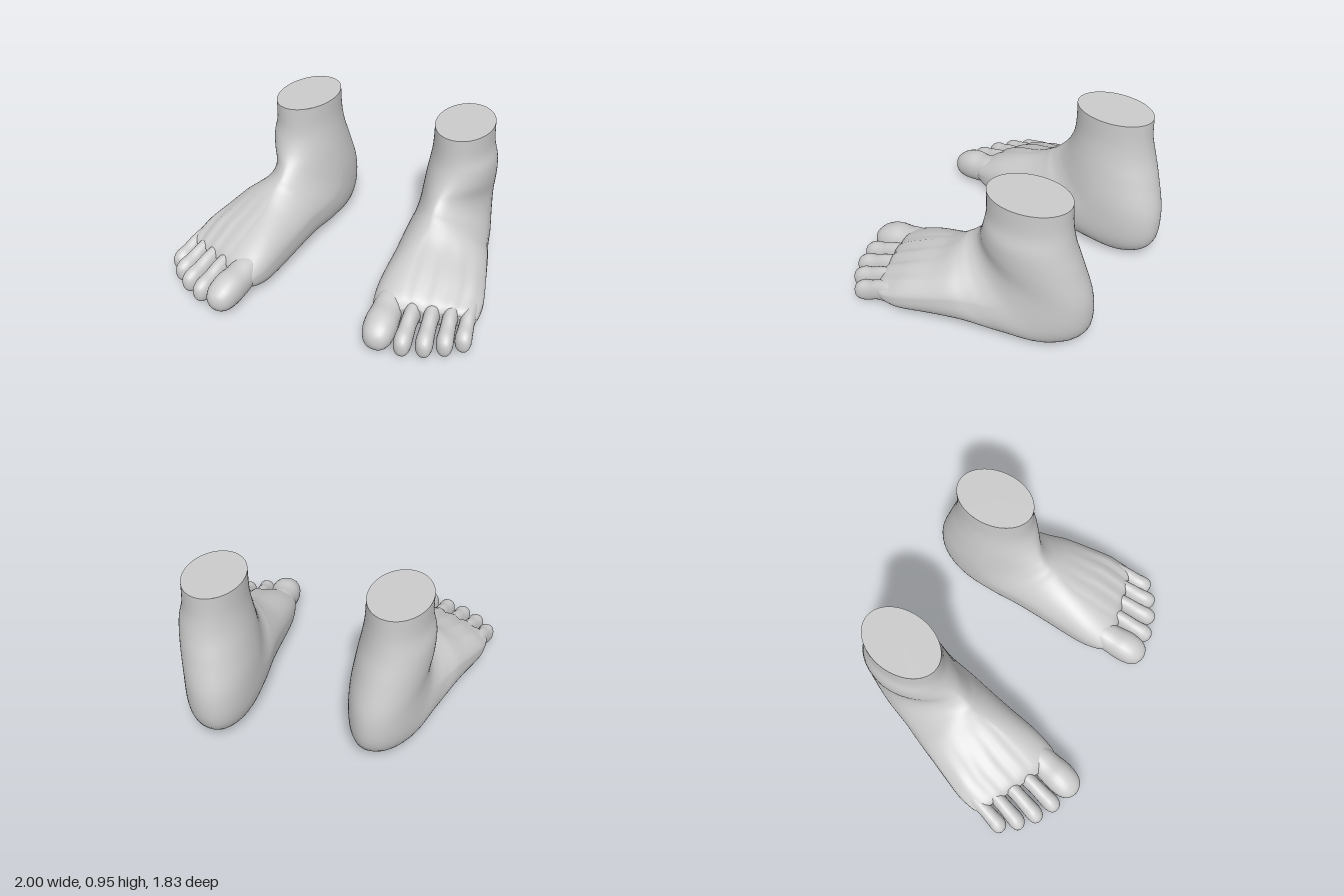
import * as THREE from 'three';

const { smoothstep, lerp, degToRad } = THREE.MathUtils;
const material = new THREE.MeshStandardMaterial({ color: 0xcccccc, roughness: 0.8 });

// Smoothly interpolated rows of numbers (Catmull-Rom), 'steps' rows per span
function refine(rows, steps) {
  const out = [];
  const at = (i) => rows[Math.min(Math.max(i, 0), rows.length - 1)];
  for (let i = 0; i < rows.length - 1; i++) {
    for (let s = 0; s < steps; s++) {
      const t = s / steps;
      out.push(at(i).map((b, k) => {
        const a = at(i - 1)[k], c = at(i + 1)[k], d = at(i + 2)[k];
        return b + 0.5 * t * (c - a + t * (2 * a - 5 * b + 4 * c - d + t * (3 * (b - c) + d - a)));
      }));
    }
  }
  out.push(at(rows.length - 1));
  return out;
}

// Skin over closed rings, the last one closed with a fan.
// Points come out relative to the ankle axis; side -1 mirrors them.
function loft(rows, sides, point, side, length) {
  const rings = refine(rows, 5), pos = [], index = [];
  const tri = (a, b, c) => (side < 0 ? index.push(a, c, b) : index.push(a, b, c));
  rings.forEach((row) => {
    for (let j = 0; j < sides; j++) {
      const [x, y, z] = point(row, (j / sides) * Math.PI * 2);
      pos.push((x + 0.59) * side, y, (z + 0.35) * length);
    }
  });
  const last = (rings.length - 1) * sides, mid = [0, 0, 0];
  for (let j = 0; j < sides; j++) {
    const k = (j + 1) % sides;
    for (let a = 0; a < last; a += sides) {
      tri(a + j, a + k, a + sides + k);
      tri(a + j, a + sides + k, a + sides + j);
    }
    tri(last + sides, last + j, last + k);
    for (let c = 0; c < 3; c++) mid[c] += pos[(last + j) * 3 + c] / sides;
  }
  pos.push(...mid);
  const g = new THREE.BufferGeometry();
  g.setAttribute('position', new THREE.Float32BufferAttribute(pos, 3));
  g.setIndex(index);
  g.computeVertexNormals();
  return g;
}

// Superellipse coordinate
const power = (v, n) => Math.sign(v) * Math.pow(Math.abs(v), 2 / n);

// Sections swinging from the ankle, round the heel, to the ball of the foot:
// front/top z, y, back/sole z, y, inner x, outer x
const footRows = [
  [-0.085, 0.955, -0.61, 0.955, -0.41, -0.775],
  [-0.085, 0.82, -0.615, 0.82, -0.405, -0.78],
  [-0.07, 0.73, -0.64, 0.69, -0.39, -0.805],
  [-0.035, 0.645, -0.69, 0.54, -0.37, -0.805],
  [0.01, 0.58, -0.752, 0.32, -0.35, -0.79],
  [0.05, 0.54, -0.73, 0.11, -0.34, -0.8],
  [0.08, 0.515, -0.58, 0.01, -0.335, -0.825],
  [0.11, 0.495, -0.33, 0.01, -0.335, -0.855],
  [0.16, 0.46, -0.1, 0.035, -0.34, -0.895],
  [0.27, 0.4, 0.16, 0.02, -0.342, -0.935],
  [0.46, 0.332, 0.42, 0.004, -0.34, -0.972],
  [0.58, 0.282, 0.54, 0.01, -0.35, -0.98],
  [0.66, 0.235, 0.635, 0.045, -0.375, -0.975],
  [0.69, 0.185, 0.67, 0.09, -0.43, -0.945],
];

function footPoint([topZ, topY, soleZ, soleY, inner, outer], a) {
  const s = Math.sin(a);
  // Slanted toe line, instep crest nearer the inner side, narrow instep, squarer sole
  const slant = 0.15 * smoothstep(topZ, 0.05, 0.7);
  const crest = lerp(inner, outer, 0.5 - 0.19 * smoothstep(topZ, -0.1, 0.35));
  const instep = smoothstep(topZ, -0.08, 0.04) * (1 - smoothstep(topZ, 0.15, 0.5));
  const n = s < 0 ? 2 + smoothstep(topZ, 0.04, 0.15) : 2 - 0.35 * instep;
  const u = power(Math.cos(a), n);
  const k = (power(s, n) + 1) / 2;
  const x = crest + u * (u > 0 ? inner - crest : crest - outer);
  const across = (inner - x) / (inner - outer);
  // Tendon ridges running back from the four small toes
  const ridge = 0.012 * Math.max(s, 0) * smoothstep(topZ, 0.12, 0.5) * smoothstep(across, 0.3, 0.42)
    * Math.cos(((across - 0.42) / 0.16) * Math.PI * 2);
  return [x, lerp(soleY, topY, k) + ridge, lerp(soleZ, topZ, k) - slant * across];
}

// Toe profiles: position along the toe, top y, bottom y, width factor
const smallToe = [
  [0, 0.225, 0.06, 0.8], [0.3, 0.23, 0.06, 0.95], [0.55, 0.21, 0.055, 0.88],
  [0.72, 0.18, 0.025, 0.94], [0.86, 0.165, 0.012, 1], [0.95, 0.14, 0.02, 0.8],
  [0.99, 0.115, 0.045, 0.42], [1, 0.09, 0.07, 0.12],
];
const bigToe = [
  [0, 0.25, 0.05, 0.75], [0.3, 0.25, 0.05, 0.86], [0.5, 0.232, 0.03, 0.94],
  [0.68, 0.227, 0.014, 1], [0.84, 0.2, 0.012, 0.92], [0.94, 0.165, 0.03, 0.68],
  [0.985, 0.135, 0.06, 0.36], [1, 0.105, 0.085, 0.1],
];

// name, root x, root z, tip x, tip z, half width, height factor, profile
const toes = [
  ['bigToe', -0.455, 0.44, -0.475, 0.912, 0.1, 1, bigToe],
  ['secondToe', -0.6, 0.42, -0.63, 0.885, 0.054, 1, smallToe],
  ['middleToe', -0.7, 0.39, -0.753, 0.845, 0.053, 0.99, smallToe],
  ['fourthToe', -0.8, 0.35, -0.86, 0.785, 0.052, 0.97, smallToe],
  ['littleToe', -0.905, 0.32, -0.948, 0.705, 0.051, 0.92, smallToe],
];

// One foot standing with its ankle axis on the group's origin
function makeFoot(name, side, length) {
  const foot = new THREE.Group();
  foot.name = name;
  const add = (part, geometry) => {
    const mesh = new THREE.Mesh(geometry, material);
    mesh.name = part;
    foot.add(mesh);
    return mesh;
  };

  add('footAndAnkle', loft(footRows, 72, footPoint, side, length));

  // Flat cut across the ankle
  const cap = add('ankleTop', new THREE.CircleGeometry(1, 72).rotateX(-Math.PI / 2));
  cap.scale.set(0.1825, 1, 0.2625 * length);
  cap.position.set(-0.0025 * side, 0.955, 0.0025 * length);

  for (const [part, x0, z0, x1, z1, width, height, profile] of toes) {
    const toePoint = ([f, top, bottom, k], a) => [
      lerp(x0, x1, f) + width * k * power(Math.cos(a), 2.2),
      height * lerp(bottom, top, (power(Math.sin(a), 2.2) + 1) / 2),
      lerp(z0, z1, f),
    ];
    add(part, loft(profile, 24, toePoint, side, length));
  }
  return foot;
}

export function createModel() {
  const model = new THREE.Group();
  model.name = 'pairOfFeet';

  const right = makeFoot('rightFoot', 1, 1);
  right.position.set(-0.59, 0, -0.35);

  // Left foot: mirrored, set further back and turned outwards
  const left = makeFoot('leftFoot', -1, 0.97);
  left.position.set(0.457, 0, -0.535);
  left.rotation.y = degToRad(8.7);

  model.add(right, left);
  return model;
}
